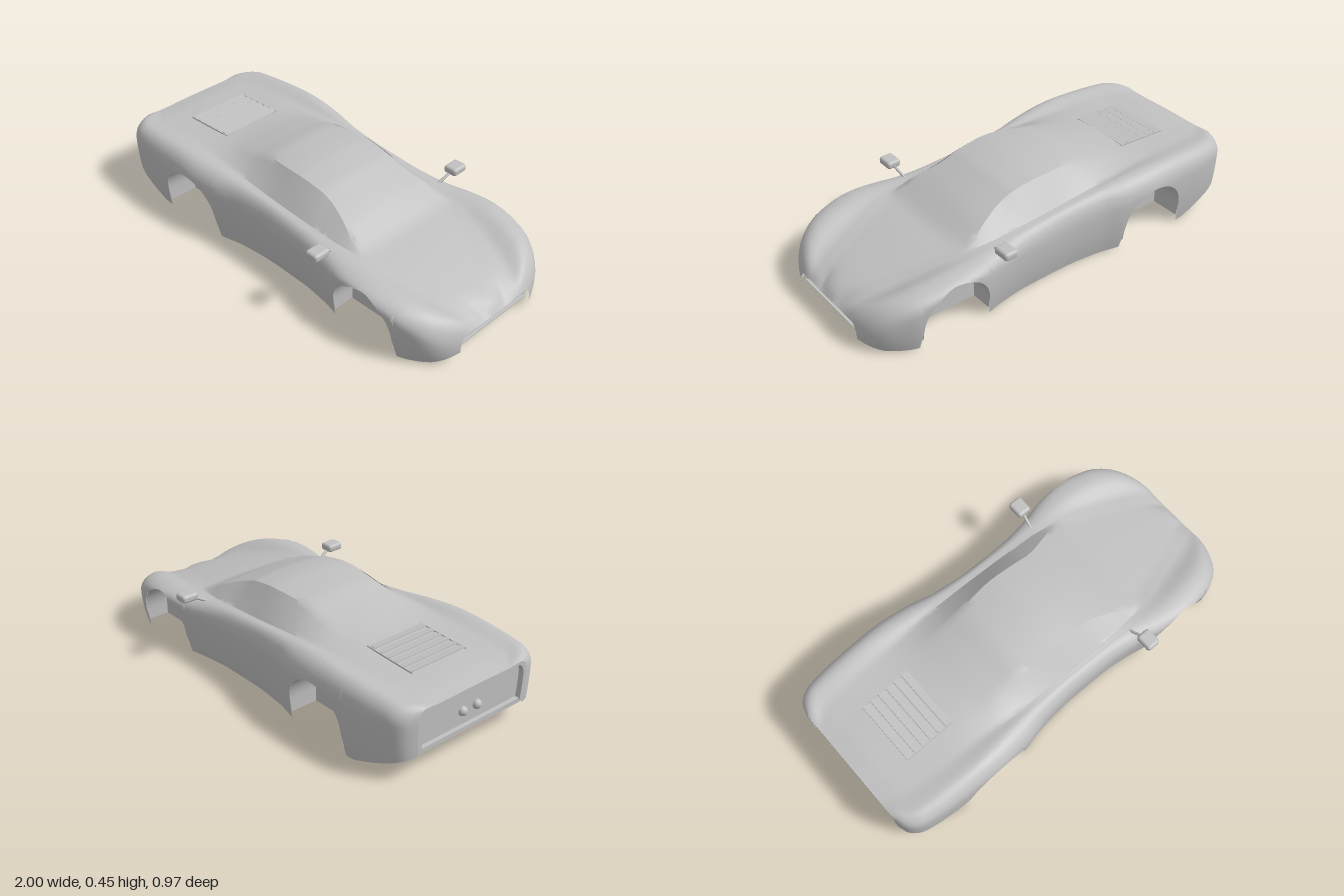
import * as THREE from 'three';
import { toCreasedNormals } from 'three/addons/utils/BufferGeometryUtils.js';
import { RoundedBoxGeometry } from 'three/addons/geometries/RoundedBoxGeometry.js';

// Smooth monotone curve through a few [x, value] points
function curve(...p) {
  const d = p.slice(1).map((b, i) => (b[1] - p[i][1]) / (b[0] - p[i][0]));
  const m = p.map((_, i) => {
    const a = d[Math.max(i - 1, 0)], b = d[Math.min(i, d.length - 1)];
    return a * b <= 0 ? 0 : (2 * a * b) / (a + b);
  });
  return (x) => {
    let i = 0;
    while (i < p.length - 2 && x > p[i + 1][0]) i++;
    const h = p[i + 1][0] - p[i][0];
    const t = Math.min(1, Math.max(0, (x - p[i][0]) / h)), s = 1 - t;
    return p[i][1] * (1 + 2 * t) * s * s + m[i] * h * t * s * s
      + p[i + 1][1] * t * t * (3 - 2 * t) - m[i + 1] * h * t * t * s;
  };
}

// Lengthwise curves of the shell; the nose points to +x
const width = curve([-1, .32], [-.985, .365], [-.95, .4], [-.9, .418], [-.75, .436], [-.5, .445], [-.34, .43], [-.2, .4],
  [0, .385], [.2, .388], [.35, .405], [.5, .435], [.65, .443], [.8, .425], [.88, .39], [.94, .345], [.98, .285], [1, .23]);
const rollStart = curve([-1, .8], [-.5, .72], [0, .7], [.4, .8], [.6, .88], [.85, .75], [1, .5]);
const crownZ = curve([-1, .28], [-.9, .355], [-.6, .37], [-.3, .345], [0, .335], [.3, .335], [.6, .36], [.8, .335], [.9, .29], [1, .18]);
const crownY = curve([-1, .325], [-.97, .338], [-.9, .346], [-.55, .362], [-.4, .355], [-.2, .335], [0, .318], [.2, .303],
  [.4, .29], [.6, .285], [.75, .268], [.86, .24], [.93, .205], [.98, .16], [1, .125]);
const baseZ = curve([-1, .2], [-.9, .26], [-.5, .29], [-.3, .31], [0, .315], [.3, .31], [.5, .285], [.7, .235], [.9, .17], [1, .11]);
const baseY = curve([-1, .32], [-.9, .335], [-.6, .347], [-.4, .345], [-.2, .335], [0, .32], [.3, .298], [.5, .28],
  [.6, .264], [.75, .23], [.9, .187], [.97, .152], [1, .12]);
const roofZ = curve([-1, .14], [-.6, .2], [-.2, .2], [0, .215], [.2, .21], [.47, .27], [.5, .26], [.7, .18], [.9, .1], [1, .06]);
const roofY = curve([-1, .32], [-.9, .335], [-.6, .35], [-.45, .362], [-.3, .395], [-.15, .432], [0, .44], [.15, .423], [.22, .4],
  [.35, .347], [.47, .287], [.5, .279], [.6, .26], [.75, .227], [.9, .184], [1, .118]);
const spineY = curve([-1, .322], [-.9, .338], [-.6, .354], [-.5, .367], [-.3, .412], [-.15, .448], [0, .455], [.15, .437],
  [.25, .402], [.35, .36], [.47, .295], [.5, .283], [.6, .263], [.75, .229], [.9, .188], [.97, .155], [1, .118]);
const sillY = curve([-1, .115], [-.78, .02], [-.72, 0], [.8, 0], [.92, .008], [.97, .025], [1, .045]);

const R = .17;
const arches = [{ x: -.505, y: .105, z: .27 }, { x: .618, y: .096, z: .3 }];

function bottomY(x) {
  for (const a of arches) {
    const d = Math.abs(x - a.x);
    if (d <= R + 1e-6) return a.y + Math.sqrt(Math.max(0, R * R - d * d));
  }
  return sillY(x);
}

// Half width of the flank at height y
function sideZ(x, y) {
  const u = Math.min(1, y / crownY(x)), r = rollStart(x), c = crownZ(x), w = width(x);
  if (u > r) return c + (w - c) * Math.sqrt(Math.max(0, 1 - ((u - r) / (1 - r)) ** 2));
  return w - .03 * ((r - u) / r) ** 2;
}

// Height of the upper surface at half width z
function topY(x, z) {
  z = Math.abs(z);
  const c = crownZ(x), b = baseZ(x), r = roofZ(x), mix = THREE.MathUtils.lerp;
  if (z > c) {
    const k = Math.min(1, (z - c) / (width(x) - c)), s = rollStart(x);
    return crownY(x) * (s + (1 - s) * Math.sqrt(1 - k * k));
  }
  if (z > b) return mix(baseY(x), crownY(x), THREE.MathUtils.smoothstep(z, b, c));
  if (z > r) return mix(roofY(x), baseY(x), (z - r) / (b - r));
  return spineY(x) - (spineY(x) - roofY(x)) * (z / r) ** 2;
}

// Half cross-section: 0-1 flank, 1-2 shoulder, 2-3 cabin side, 3-4 roof
function section(x, q) {
  if (q <= 1) {
    const b = bottomY(x), y = b + (crownY(x) - b) * Math.sin(q * Math.PI / 2);
    return [x, y, sideZ(x, y)];
  }
  const zs = [crownZ(x), baseZ(x), roofZ(x), 0], i = Math.min(2, Math.floor(q - 1));
  const z = THREE.MathUtils.lerp(zs[i], zs[i + 1], q - 1 - i);
  return [x, topY(x, z), z];
}

// Surface from a rule giving the point at row i, column j
function grid(rows, cols, rule, crease = .6) {
  const pos = [], idx = [];
  for (let i = 0; i <= rows; i++) for (let j = 0; j <= cols; j++) pos.push(...rule(i, j));
  for (let i = 0; i < rows; i++) for (let j = 0; j < cols; j++) {
    const a = i * (cols + 1) + j, b = a + cols + 1;
    idx.push(a, b, a + 1, b, b + 1, a + 1);
  }
  const g = new THREE.BufferGeometry();
  g.setAttribute('position', new THREE.Float32BufferAttribute(pos, 3));
  g.setIndex(idx);
  return toCreasedNormals(g, crease);
}

export function createModel() {
  const car = new THREE.Group();
  car.name = 'carBody';
  const paint = new THREE.MeshStandardMaterial({ color: 0xc0c0c0, side: THREE.DoubleSide });
  paint.name = 'silverGrey';
  const add = (name, geo, x = 0, y = 0, z = 0) => {
    const m = new THREE.Mesh(geo, paint);
    m.name = name;
    m.position.set(x, y, z);
    car.add(m);
    return m;
  };

  // Stations, packed closer around the wheel arches and the ends
  const xs = [-1, -.995, -.985, -.97, .97, .985, .993, 1];
  for (let x = -.95; x < .955; x += .02) if (arches.every((a) => Math.abs(x - a.x) > R + .016)) xs.push(x);
  for (const a of arches) {
    xs.push(a.x - R - .012, a.x + R + .012);
    for (let i = 0; i <= 24; i++) xs.push(a.x - R * Math.cos(i * Math.PI / 24));
  }
  xs.sort((a, b) => a - b);

  // Open-bottomed shell, mirrored across the centreline
  const qs = [];
  for (let i = 0; i < 14; i++) qs.push(i / 14);
  for (let i = 0; i <= 18; i++) qs.push(1 + i / 6);
  const last = qs.length - 1;
  const shell = (x, j) => {
    const [px, y, z] = section(x, qs[j <= last ? j : 2 * last - j]);
    return [px, y, j <= last ? z : -z];
  };
  add('bodyShell', grid(xs.length - 1, 2 * last, (i, j) => shell(xs[i], j)));

  // Recessed tail panel: rim, step, then flat face
  const tail = [[-1, 1, 1], [-1, .86, .94], [-.975, .86, .94], [-.975, .86, 0]];
  add('tailPanel', grid(3, 2 * last, (i, j) => {
    const [, y, z] = shell(-1, j), [x, sy, sz] = tail[i];
    return [x, .225 + (y - .225) * sy, z * sz];
  }, .3));
  add('rearBumperBar', new THREE.BoxGeometry(.02, .022, .6), -.985, .128, 0);

  // Nose intake panel and slats
  const hex = new THREE.Shape([[-.26, .08], [-.22, .045], [.22, .045], [.26, .08], [.22, .115], [-.22, .115]]
    .map(([z, y]) => new THREE.Vector2(z, y)));
  const intake = add('intakePanel', new THREE.ExtrudeGeometry(hex, { depth: .008, bevelEnabled: false }), .96);
  intake.rotation.y = Math.PI / 2;
  for (const y of [.065, .095]) add('intakeSlat', new THREE.BoxGeometry(.02, .005, .44), .975, y, 0);

  // Thin plates laid on the upper surface between four [x, z] corners
  const drape = (name, c, lift = .003) => add(name, grid(10, 10, (i, j) => {
    const s = i / 10, t = j / 10;
    const at = (k) => (c[0][k] * (1 - s) + c[1][k] * s) * (1 - t) + (c[3][k] * (1 - s) + c[2][k] * s) * t;
    return [at(0), topY(at(0), at(1)) + lift, at(1)];
  }));
  drape('windscreen', [[.2, -.19], [.455, -.255], [.455, .255], [.2, .19]]);
  drape('bonnetVent', [[.71, -.13], [.845, -.1], [.845, .1], [.71, .13]]);

  // Engine cover louvres
  for (let i = 0; i < 6; i++) {
    const x = -.777 + i * .044;
    add('engineLouvre', new THREE.BoxGeometry(.036, .006, .31), x, spineY(x) + .001, 0).rotation.z = -.12;
  }
  for (const s of [-1, 1]) add('louvreFrame', new THREE.BoxGeometry(.264, .008, .006), -.667, .351, s * .158).rotation.z = .05;

  for (const s of [-1, 1]) {
    // Fender slots and small bonnet scoops
    for (const x of [.54, .602, .668]) drape('fenderSlot', [[x, s * .35], [x + .03, s * .35], [x + .03, s * .41], [x, s * .41]], .004);
    drape('bonnetScoop', [[.575, s * .265], [.69, s * .265], [.65, s * .295], [.585, s * .295]], .004);

    // Side window on the cabin flank
    add('sideWindow', grid(24, 4, (i, j) => {
      const x = -.2 + .6 * i / 24, p = section(x, 2.12 + .76 * j / 4);
      return [x, p[1] + .002, s * (p[2] + .002)];
    }));

    // Intake behind the door
    const v = [[-.37, .29], [-.23, .305], [-.19, .21], [-.33, .187]];
    add('sideIntake', grid(6, 6, (i, j) => {
      const a = i / 6, b = j / 6;
      const at = (k) => (v[0][k] * (1 - a) + v[1][k] * a) * (1 - b) + (v[3][k] * (1 - a) + v[2][k] * a) * b;
      return [at(0), at(1), s * (sideZ(at(0), at(1)) + .003)];
    }));

    // Wheel wells: curved liner from the arch edge plus a flat inner wall
    for (const a of arches) {
      const path = [[a.x - R, .04]];
      for (let i = 0; i <= 24; i++) {
        const t = Math.PI * (1 - i / 24);
        path.push([a.x + R * Math.cos(t), a.y + R * Math.sin(t)]);
      }
      path.push([a.x + R, .04]);
      add('wheelWellLiner', grid(path.length - 1, 1, (i, j) => {
        const [x, y] = path[i];
        return [x, y, s * (j ? a.z : sideZ(x, y) - .002)];
      }));
      add('wheelWellWall', new THREE.ShapeGeometry(new THREE.Shape(path.map((p) => new THREE.Vector2(...p)))), 0, 0, s * a.z);
    }

    // Door mirror on its stalk
    add('mirror', new RoundedBoxGeometry(.07, .038, .085, 3, .014), .38, .333, s * .443);
    const stalk = new THREE.LineCurve3(new THREE.Vector3(.365, .285, s * .345), new THREE.Vector3(.378, .325, s * .42));
    add('mirrorStalk', new THREE.TubeGeometry(stalk, 1, .007, 8));

    // Round tail lamps
    add('tailLamp', new THREE.SphereGeometry(.022, 20, 12), -.977, .205, s * .042);
  }
  return car;
}
